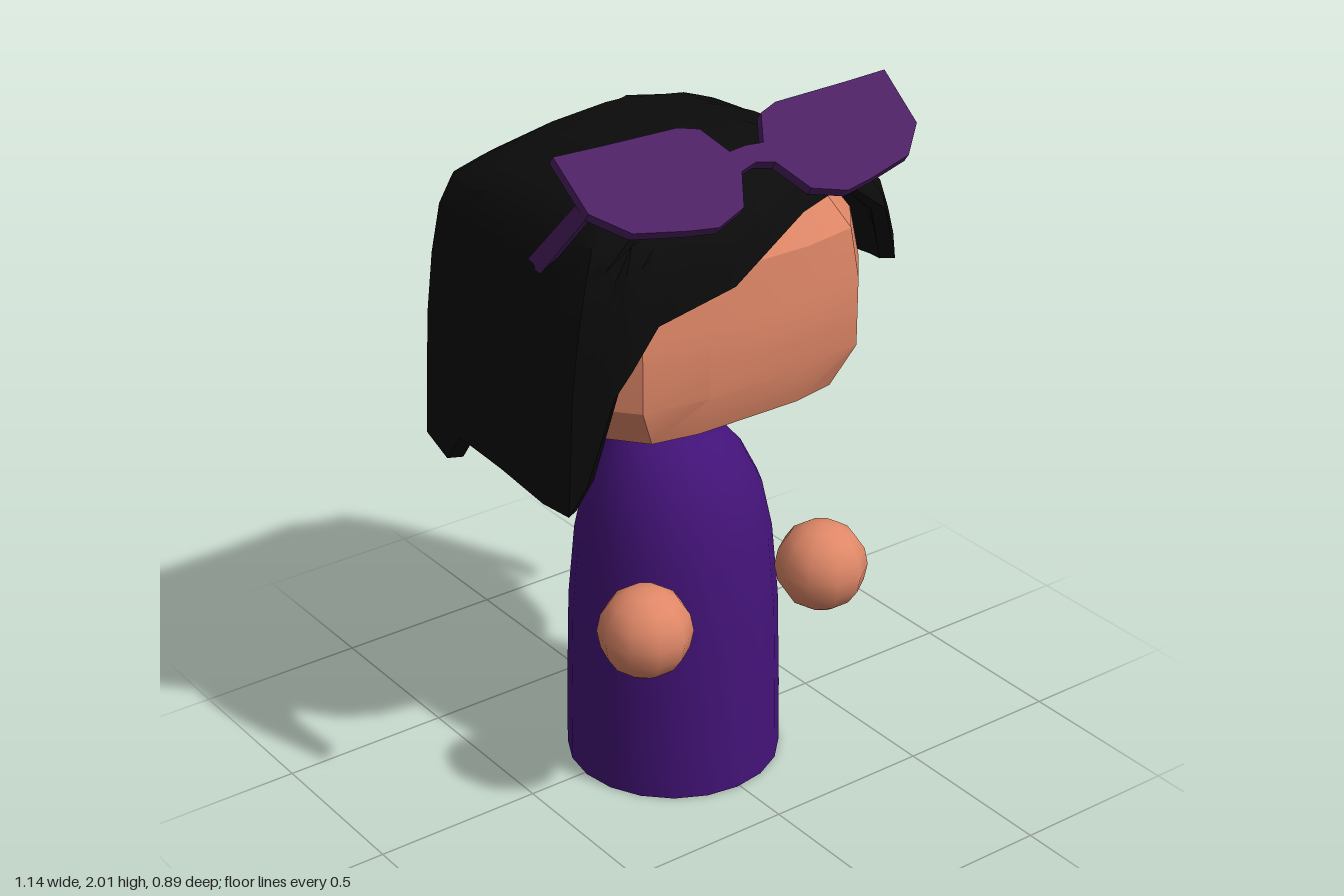
import * as THREE from 'three';
import { toCreasedNormals } from 'three/addons/utils/BufferGeometryUtils.js';

const mat = (color) => new THREE.MeshStandardMaterial({ color });

// Piecewise linear lookup in a list of [key, value]
function lookup(table, k) {
  if (k <= table[0][0]) return table[0][1];
  for (let i = 1; i < table.length; i++) {
    const [k0, v0] = table[i - 1], [k1, v1] = table[i];
    if (k <= k1) return v0 + (v1 - v0) * (k - k0) / (k1 - k0);
  }
  return table[table.length - 1][1];
}

// Skin closed rings of [x, y, z], each running front, left, back, right
function loft(rings, crease) {
  const n = rings[0].length, index = [];
  for (let i = 0; i < rings.length - 1; i++) {
    for (let j = 0; j < n; j++) {
      const a = i * n + j, b = i * n + (j + 1) % n;
      index.push(a, b, b + n, a, b + n, a + n);
    }
  }
  const geo = new THREE.BufferGeometry();
  geo.setAttribute('position', new THREE.Float32BufferAttribute(rings.flat(2), 3));
  geo.setIndex(index);
  return toCreasedNormals(geo, crease);
}

function headGeometry() {
  const quarter = [[0.165, 0.37], [0.36, 0.34], [0.46, 0.22], [0.49, 0.08]];
  const half = [...quarter, ...quarter.map(([x, z]) => [x, -z]).reverse()];
  const section = [...half, ...half.map(([x, z]) => [-x, z]).reverse()];
  // y, width scale, depth scale
  const levels = [[1.125, 0.52, 0.5], [1.18, 0.84, 0.88], [1.3, 1, 1], [1.5, 1, 1],
    [1.65, 0.93, 0.98], [1.79, 0.72, 0.78], [1.85, 0.5, 0.4]];
  const rings = levels.map(([y, sx, sz]) => section.map(([x, z]) =>
    [0.01 + (Math.abs(x) < 0.2 ? x : x * sx), y, z * sz]));
  const cap = (y) => section.map(() => [0.01, y, 0]);
  return loft([cap(1.125), ...rings, cap(1.85)], 0.4);
}

function hairGeometry() {
  // Strands around the head: x, z of the footprint and height of the lower tip
  const strands = [
    [-0.49, 0.39, 1.40], [-0.45, 0.405, 1.47], [-0.38, 0.415, 1.58], [-0.14, 0.44, 1.64],
    [0.15, 0.425, 1.77], [0.38, 0.41, 1.80], [0.48, 0.39, 1.70], [0.52, 0.35, 1.53],
    [0.545, 0.28, 1.515], [0.555, 0.17, 1.50], [0.56, 0.05, 1.55], [0.56, -0.05, 1.50],
    [0.555, -0.18, 1.33], [0.545, -0.22, 1.20], [0.53, -0.27, 1.0], [0.515, -0.38, 0.98],
    [0.42, -0.40, 1.0], [0.30, -0.44, 0.97], [0.18, -0.43, 0.99], [0.0, -0.42, 1.0],
    [-0.15, -0.42, 0.98], [-0.30, -0.42, 1.03], [-0.37, -0.42, 0.98], [-0.47, -0.42, 1.03],
    [-0.53, -0.40, 0.99], [-0.575, -0.37, 1.03], [-0.575, -0.27, 0.99], [-0.575, -0.2, 1.08],
    [-0.575, 0.0, 1.07], [-0.575, 0.2, 1.05], [-0.575, 0.32, 1.06], [-0.54, 0.35, 1.15],
  ];
  const width = [[1.05, 1], [1.4, 0.97], [1.6, 0.925], [1.77, 0.85], [1.82, 0.73], [1.89, 0.42], [1.92, 0.1]];
  const front = [[1.65, 1], [1.75, 0.96], [1.82, 0.87], [1.87, 0.7], [1.92, 0.28]];
  const back = [[1.7, 1], [1.77, 0.96], [1.92, 0.58]];
  const steps = [0, 0.2, 0.4, 0.6, 0.75, 0.84, 0.89, 0.93, 0.965, 1];
  const ring = (t, inset, top) => strands.map(([x, z, tip]) => {
    const y = tip + (1.92 - tip) * t;
    return [x * lookup(width, y) * inset, tip + (top - tip) * t,
      z * lookup(z > 0 ? front : back, y) * inset];
  });
  const cap = (y) => strands.map(() => [0, y, -0.06]);
  const inner = steps.map((t) => ring(t, 0.93, 1.87)).reverse();
  const outer = steps.map((t) => ring(t, 1, 1.92));
  return loft([cap(1.87), ...inner, ...outer, cap(1.92)], 0.7);
}

function extrude(points, depth) {
  const shape = new THREE.Shape(points.map(([x, y]) => new THREE.Vector2(x, y)));
  return new THREE.ExtrudeGeometry(shape, { depth, bevelEnabled: false }).translate(0, 0, -depth / 2);
}

export function createModel() {
  const group = new THREE.Group();
  const add = (name, geo, material, x = 0, y = 0, z = 0, parent = group) => {
    const mesh = new THREE.Mesh(geo, material);
    mesh.name = name;
    mesh.position.set(x, y, z);
    parent.add(mesh);
    return mesh;
  };
  const skin = mat(0xe08868), purple = mat(0x431378), frame = mat(0x4b2163);

  // Body with a domed shoulder and a short neck
  const profile = [[0, 0], [0.31, 0], [0.308, 0.2], [0.3, 0.5], [0.28, 0.72], [0.25, 0.86],
    [0.2, 0.96], [0.14, 1.03], [0.07, 1.06], [0.065, 1.06], [0.065, 1.14], [0, 1.14]];
  const body = new THREE.LatheGeometry(profile.map(([r, y]) => new THREE.Vector2(r, y)), 20);
  add('body', toCreasedNormals(body, 0.6), purple, -0.008, 0, 0.01);

  // Hands
  for (const [name, x] of [['rightHand', -0.303], ['leftHand', 0.315]]) {
    add(name, new THREE.SphereGeometry(0.133, 10, 8), skin, x, 0.605, 0.28);
  }

  add('head', headGeometry(), skin);
  add('hair', hairGeometry(), mat(0x0b0b0b));

  // Small grey ear piece on the left side
  const ear = extrude([[-0.1, 1.41], [-0.06, 1.39], [-0.01, 1.42], [-0.005, 1.52],
    [-0.03, 1.54], [-0.09, 1.52]], 0.06);
  add('earPiece', ear, mat(0xcccccc), 0.538).rotation.y = Math.PI / 2;

  // Glasses pushed up onto the hair: one mirrored outline, tilted back
  const glasses = new THREE.Group();
  glasses.name = 'glasses';
  glasses.position.x = 0.02;
  group.add(glasses);
  const half = [[0, -0.015], [0.055, -0.03], [0.11, -0.13], [0.21, -0.165], [0.3, -0.15], [0.45, -0.115],
    [0.535, -0.03], [0.54, 0.15], [0.4, 0.145], [0.16, 0.14], [0.1, 0.12], [0.055, 0.035], [0, 0.04]];
  const outline = [...half, ...half.slice(1, -1).reverse().map(([x, y]) => [-x, y])];
  add('lenses', extrude(outline, 0.028), frame, 0, 1.91, 0.31, glasses).rotation.x = -0.935;

  // Temples with a notched end, running back and down
  const arm = extrude([[0, -0.024], [0.33, -0.028], [0.315, 0], [0.33, 0.028], [0, 0.024]], 0.018);
  arm.rotateY(Math.PI / 2).rotateX(-0.8);
  for (const [name, side] of [['leftTemple', 1], ['rightTemple', -1]]) {
    add(name, arm, frame, side * 0.525, 1.905, 0.315, glasses);
  }
  return group;
}
